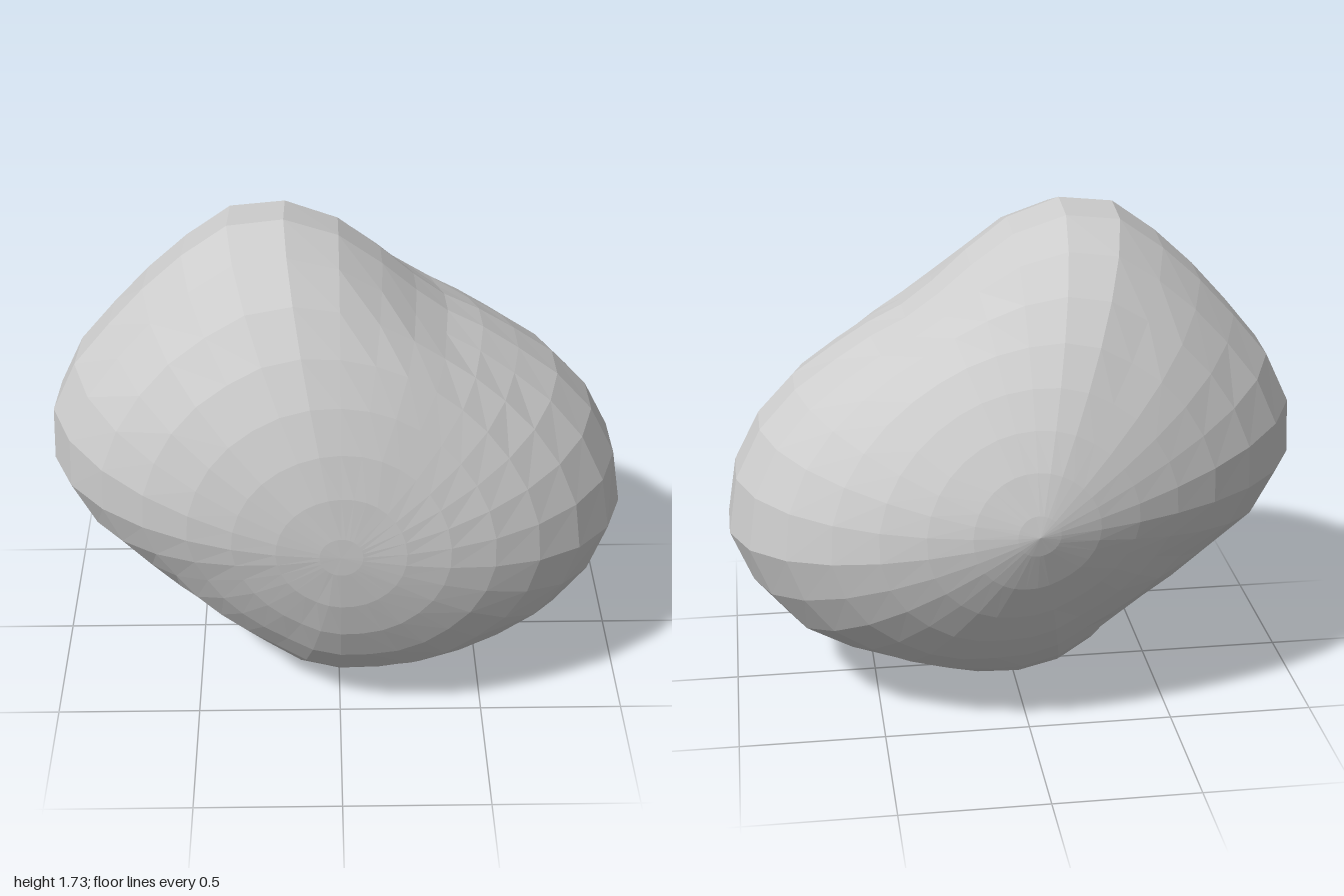
import * as THREE from 'three';

const SIDES = 32, RINGS = 16, POLE = 0.725;

// Radius of the widest outline, every 11.25 degrees, counter-clockwise from +x
const OUTLINE = [
  0.97, 0.90, 0.82, 0.745, 0.70, 0.67, 0.69, 0.755,
  0.85, 0.93, 0.965, 0.94, 0.93, 0.94, 0.98, 1.01,
  1.0, 0.925, 0.82, 0.745, 0.70, 0.71, 0.76, 0.80,
  0.815, 0.815, 0.815, 0.835, 0.89, 0.96, 1.0, 1.02,
];

// The same outline with its two hollows filled in by averaging the neighbours
const FILLED = OUTLINE.map((r, i) => {
  let sum = 0;
  for (let k = -3; k <= 3; k++) sum += OUTLINE[(i + k + SIDES) % SIDES];
  return Math.max(r, sum / 7);
});

// Distance from the centre, rounding the outline off to the two poles
function radius(i, lat) {
  const fade = THREE.MathUtils.smoothstep(Math.abs(lat), 0.2, 0.75);
  const a = THREE.MathUtils.lerp(OUTLINE[i], FILLED[i], fade) * 1.004;
  const phi = (i / SIDES) * Math.PI * 2;
  const c1 = Math.cos(phi), s1 = Math.sin(phi), c2 = Math.cos(2 * phi), s2 = Math.sin(2 * phi);
  const r = 1 / Math.hypot(Math.cos(lat) / a, Math.sin(lat) / POLE);
  // fuller low down in front, slimmer at the back
  const bulge = lat > 0
    ? (0.008 + 0.01 * c1 - 0.018 * s1 - 0.008 * c2 - 0.02 * s2) * 1.25 * Math.cos(lat)
    : -0.055 + 0.0325 * c1 - 0.0125 * s1 + 0.028 * c2 - 0.025 * s2;
  return r * (1 + bulge * Math.abs(Math.sin(2 * lat)));
}

export function createModel() {
  const group = new THREE.Group();
  group.name = 'boulder';

  const stoneGrey = new THREE.MeshStandardMaterial({ color: 0xcccccc });
  stoneGrey.name = 'stoneGrey';

  // Sphere with its poles on the z axis, its vertices moved out to the rock's radius
  const sphere = new THREE.SphereGeometry(1, SIDES, RINGS + 1);
  const pos = sphere.attributes.position;
  const step = Math.PI / RINGS;
  for (let row = 0; row <= RINGS + 1; row++) {
    const lat = THREE.MathUtils.clamp(Math.PI / 2 - (row - 0.5) * step, -Math.PI / 2, Math.PI / 2);
    for (let col = 0; col <= SIDES; col++) {
      const i = (col + SIDES / 2) % SIDES;
      const phi = (i / SIDES) * Math.PI * 2;
      const r = radius(i, lat), flat = r * Math.cos(lat);
      pos.setXYZ(row * (SIDES + 1) + col, flat * Math.cos(phi), flat * Math.sin(phi), r * Math.sin(lat));
    }
  }

  // Flat facets, standing on the ground
  const geometry = sphere.toNonIndexed();
  geometry.computeVertexNormals();
  geometry.computeBoundingBox();
  geometry.translate(0, -geometry.boundingBox.min.y, 0);

  const rock = new THREE.Mesh(geometry, stoneGrey);
  rock.name = 'rock';
  group.add(rock);
  return group;
}
